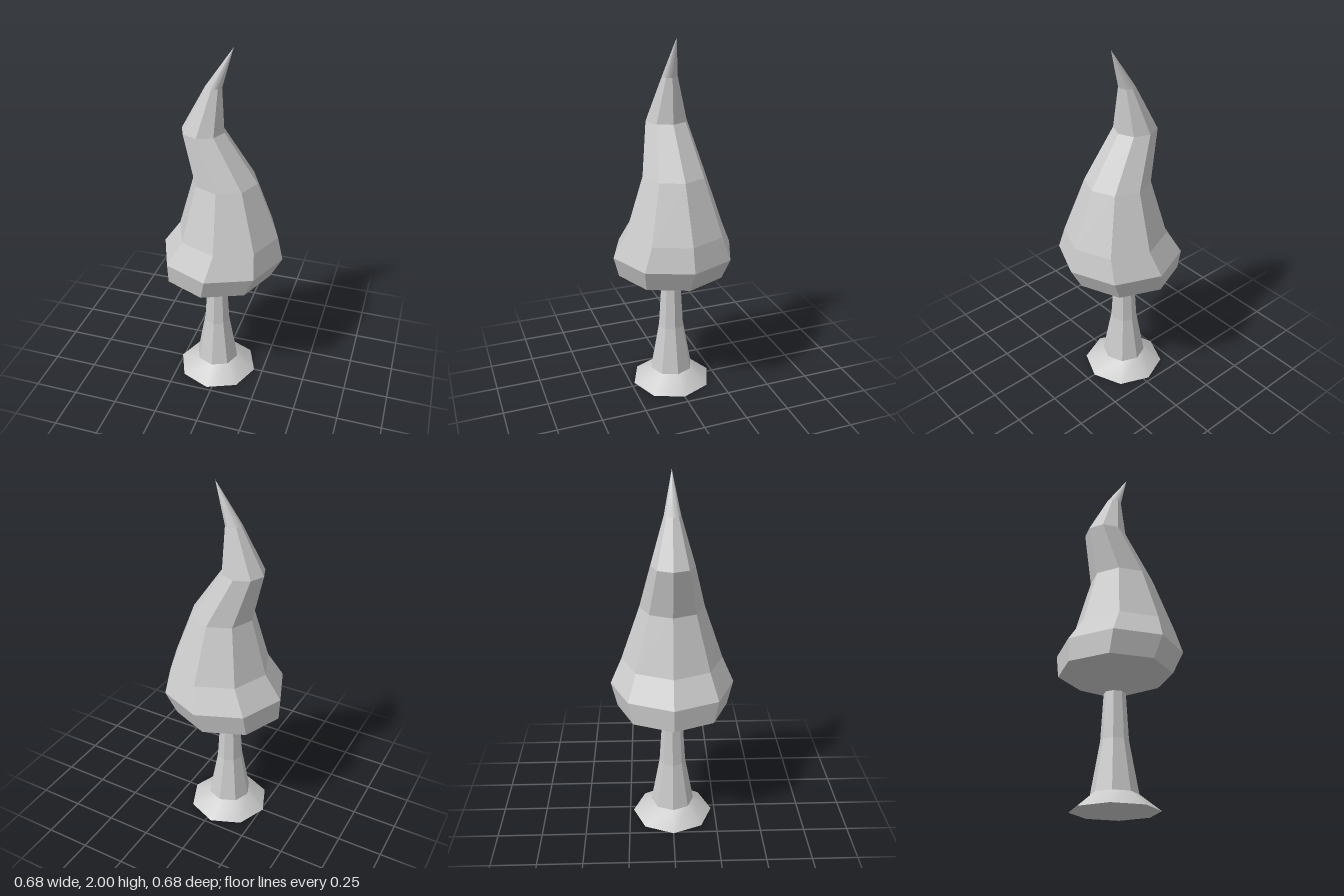
import * as THREE from 'three';

const SIDES = 8;

// Skin a stack of octagonal rings, each given as [height, centreX, radius], from bottom to top.
function loft(rings) {
  const positions = [], indices = [];
  for (const [y, cx, r] of rings) {
    for (let i = 0; i < SIDES; i++) {
      const a = (i / SIDES) * Math.PI * 2;
      positions.push(cx + r * Math.sin(a), y, r * Math.cos(a));
    }
  }
  for (let k = 0; k < rings.length - 1; k++) {
    for (let i = 0; i < SIDES; i++) {
      const j = (i + 1) % SIDES;
      const a = k * SIDES + i, b = k * SIDES + j;
      const c = b + SIDES, d = a + SIDES;
      indices.push(a, b, c);
      if (rings[k + 1][2] > 0) indices.push(a, c, d); // a zero radius ends in a point
    }
  }
  const geometry = new THREE.BufferGeometry();
  geometry.setAttribute('position', new THREE.Float32BufferAttribute(positions, 3));
  geometry.setIndex(indices);
  geometry.computeVertexNormals();
  return geometry;
}

export function createModel() {
  const model = new THREE.Group();
  model.name = 'tree';
  const faceted = new THREE.MeshStandardMaterial({ color: 0xcccccc, flatShading: true });
  const smooth = new THREE.MeshStandardMaterial({ color: 0xcccccc });

  const add = (name, geometry, material) => {
    const mesh = new THREE.Mesh(geometry, material);
    mesh.name = name;
    model.add(mesh);
    return mesh;
  };

  // Root flare with its flat underside
  add('rootFlare', loft([[0, -0.03, 0.23], [0.083, -0.032, 0.123]]), smooth);
  const underside = add('rootUnderside', new THREE.CircleGeometry(0.23, SIDES), faceted);
  underside.rotation.x = Math.PI / 2;
  underside.position.x = -0.03;

  // Tapering trunk
  add('trunk', loft([
    [0.083, -0.032, 0.123],
    [0.355, -0.033, 0.074],
    [0.615, -0.033, 0.058],
  ]), faceted);

  // Crown swaying from side to side as it narrows
  add('crown', loft([
    [0.61, -0.033, 0.058],
    [0.715, -0.03, 0.305],
    [0.84, 0, 0.341],
    [0.975, 0.032, 0.279],
    [1.285, 0.015, 0.175],
    [1.55, -0.106, 0.115],
    [1.79, -0.047, 0.044],
  ]), faceted);

  // Smooth bent tip
  add('crownTip', loft([[1.79, -0.047, 0.044], [2, 0.055, 0]]), smooth);

  return model;
}
